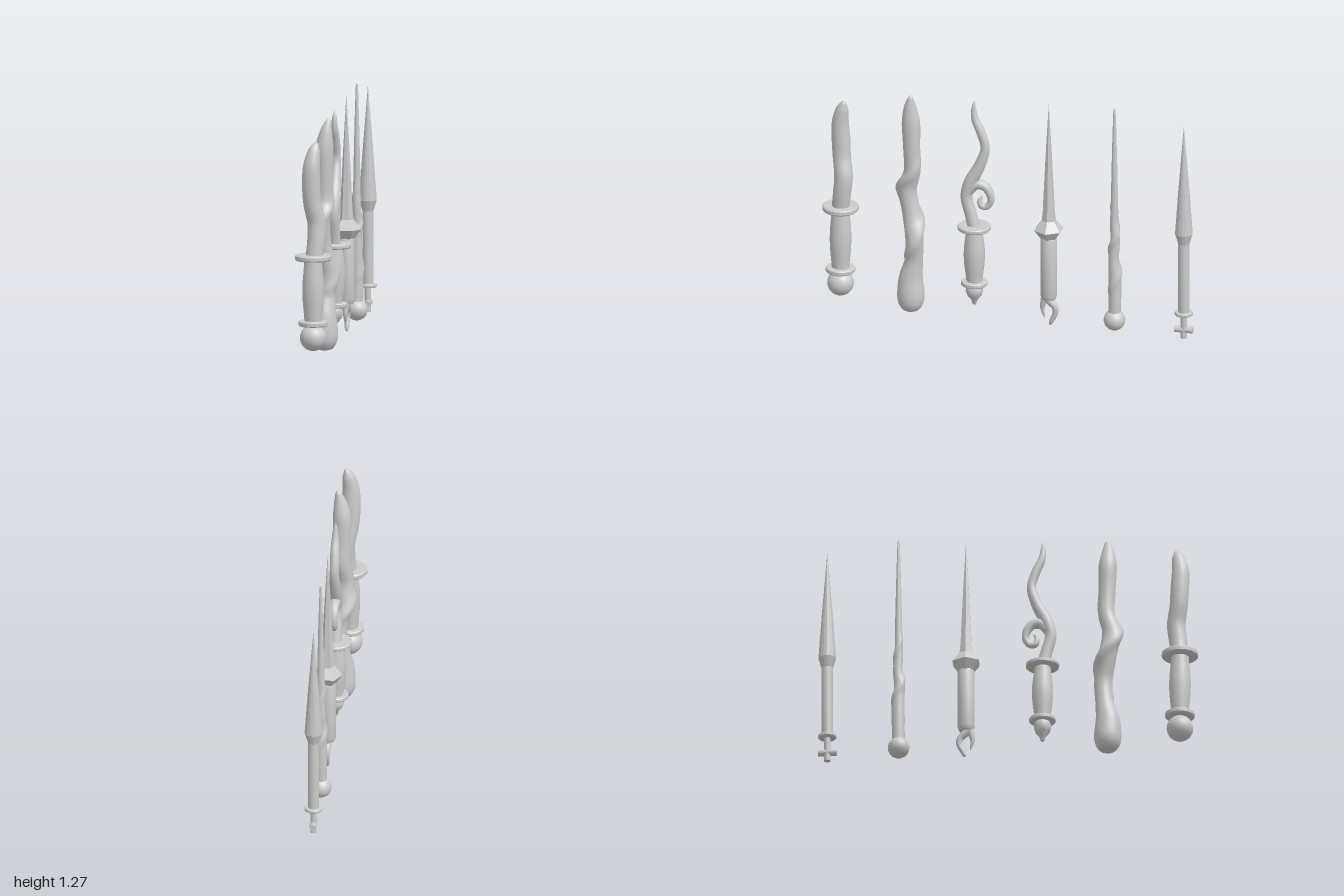
import * as THREE from 'three';
import { toCreasedNormals } from 'three/addons/utils/BufferGeometryUtils.js';

const material = new THREE.MeshStandardMaterial({ color: 0xcccccc, side: THREE.DoubleSide });

function add(group, name, geometry, y = 0) {
  const mesh = new THREE.Mesh(geometry, material);
  mesh.name = name;
  mesh.position.y = y;
  group.add(mesh);
  return mesh;
}

// Turned part: profile of [radius, y]
const turned = (profile, sides = 24, crease = 0.6) => toCreasedNormals(
  new THREE.LatheGeometry(profile.map(([r, y]) => new THREE.Vector2(r, y)), sides), crease);

// Flat disc with softened rims
const disc = (r, y0, y1) => {
  const b = (y1 - y0) * 0.2;
  return turned([[0, y0], [r - b, y0], [r, y0 + b], [r, y1 - b], [r - b, y1], [0, y1]]);
};

// Bulging grip between two heights
const grip = (y0, y1, rEnd, rMid) => {
  const profile = [];
  for (let i = 0; i <= 12; i++) {
    const t = i / 12;
    profile.push([rEnd + (rMid - rEnd) * Math.sin(Math.PI * t) ** 1.3, y0 + (y1 - y0) * t]);
  }
  return turned(profile);
};

// Round sweep through rows of [x, y, z, radius]; bump(y, angle) adds surface relief
function sweep(rows, steps = 56, sides = 20, bump = () => 0) {
  const path = new THREE.CatmullRomCurve3(rows.map(r => new THREE.Vector3(r[0], r[1], r[2])));
  const radii = new THREE.CatmullRomCurve3(rows.map((r, i) => new THREE.Vector3(r[3], i, 0)), false, 'catmullrom', 0.5);
  const X = new THREE.Vector3(1, 0, 0);
  const pos = [], index = [];
  for (let i = 0; i <= steps; i++) {
    const t = i / steps;
    const p = path.getPoint(t), T = path.getTangent(t);
    const r = Math.max(radii.getPoint(t).x, 0.0005);
    const N = new THREE.Vector3().crossVectors(X, T).normalize();
    const B = new THREE.Vector3().crossVectors(T, N);
    for (let j = 0; j < sides; j++) {
      const a = j / sides * Math.PI * 2;
      const q = p.clone(), R = r + bump(p.y, a);
      q.addScaledVector(N, R * Math.cos(a)).addScaledVector(B, R * Math.sin(a));
      pos.push(q.x, q.y, q.z);
      if (i < steps) {
        const k = (j + 1) % sides, u = i * sides, v = u + sides;
        index.push(u + j, u + k, v + j, u + k, v + k, v + j);
      }
    }
  }
  const g = new THREE.BufferGeometry();
  g.setAttribute('position', new THREE.Float32BufferAttribute(pos, 3));
  g.setIndex(index);
  g.computeVertexNormals();
  return g;
}

// Raised vine winding round a shaft
const vine = (y0, y1, pitch, height, width) => (y, a) => {
  if (y < y0 || y > y1) return 0;
  const d = a - Math.PI * 2 * (y - y0) / pitch;
  const wrapped = Math.atan2(Math.sin(d), Math.cos(d));
  return height * Math.sin(Math.PI * (y - y0) / (y1 - y0)) ** 0.5 * Math.exp(-((wrapped / width) ** 2));
};

function wavyWand(g) {
  add(g, 'pommelBall', new THREE.SphereGeometry(0.07, 24, 16), 0.14);
  add(g, 'pommelRing', disc(0.078, 0.203, 0.23));
  add(g, 'grip', grip(0.225, 0.555, 0.046, 0.057));
  add(g, 'guard', disc(0.096, 0.551, 0.58));
  add(g, 'shaft', sweep([
    [0.005, 0.56, 0, 0.046], [0.015, 0.66, -0.012, 0.048], [0.015, 0.75, -0.02, 0.049],
    [-0.005, 0.85, -0.006, 0.048], [-0.01, 0.95, 0, 0.049], [-0.008, 1.05, 0.003, 0.045],
    [0.004, 1.13, -0.01, 0.032], [0.012, 1.165, -0.018, 0.015], [0.014, 1.18, -0.021, 0]]));
}

function vineWand(g) {
  add(g, 'shaft', sweep([
    [0, 0.015, 0, 0], [0, 0.025, 0, 0.04], [0, 0.06, 0, 0.065], [0, 0.11, 0, 0.072],
    [0, 0.2, 0, 0.064], [0.008, 0.31, -0.018, 0.048], [0.018, 0.43, -0.024, 0.048],
    [-0.01, 0.57, 0, 0.048], [-0.014, 0.7, 0.02, 0.048], [-0.004, 0.81, -0.006, 0.044],
    [0, 0.95, -0.004, 0.045], [0, 1.09, 0, 0.048], [0.01, 1.18, 0.002, 0.032],
    [0.02, 1.235, -0.003, 0.014], [0.022, 1.25, -0.004, 0]], 90, 28,
  vine(0.31, 0.88, 0.39, 0.02, 0.6)));
}

function curledWand(g) {
  add(g, 'finial', turned([[0, 0.083], [0.01, 0.09], [0.018, 0.115], [0.038, 0.14], [0.046, 0.165],
    [0.042, 0.19], [0.034, 0.205]]));
  add(g, 'collar', disc(0.07, 0.198, 0.222));
  add(g, 'grip', grip(0.218, 0.52, 0.042, 0.056));
  add(g, 'guard', disc(0.088, 0.513, 0.537));
  add(g, 'shaft', sweep([
    [0, 0.52, 0, 0.034], [0, 0.6, 0.02, 0.032], [0, 0.7, 0.043, 0.031], [0, 0.78, 0.02, 0.035],
    [0, 0.88, -0.03, 0.03], [0, 0.98, -0.058, 0.024], [0, 1.07, -0.034, 0.024],
    [0, 1.14, -0.004, 0.02], [0, 1.21, 0.003, 0.011], [0, 1.245, -0.002, 0]]));
  add(g, 'curl', sweep([
    [0, 0.73, 0.03, 0.028], [0, 0.768, -0.01, 0.028], [0, 0.762, -0.055, 0.025],
    [0, 0.725, -0.083, 0.022], [0, 0.68, -0.089, 0.018], [0, 0.648, -0.067, 0.017],
    [0, 0.65, -0.038, 0.017], [0, 0.68, -0.03, 0.013], [0, 0.705, -0.044, 0.004],
    [0, 0.708, -0.047, 0]], 60, 14));
}

function clawWand(g) {
  // Hexagonal boss with corners on the x axis
  const hex = profile => {
    const h = turned(profile, 6, 0.4);
    h.rotateY(Math.PI / 2);
    return h;
  };
  add(g, 'spike', hex([[0.047, 0.52], [0.033, 0.66], [0.018, 0.96], [0, 1.268]]));
  add(g, 'diamondBoss', hex([[0, 0.443], [0.08, 0.552], [0, 0.655]]));
  add(g, 'grip', turned([[0, 0.158], [0.036, 0.158], [0.044, 0.178], [0.044, 0.5], [0.03, 0.53]], 12));
  // Hooked claws
  add(g, 'shortClaw', sweep([[0, 0.18, 0.018, 0.02], [0, 0.14, 0.028, 0.017], [0, 0.1, 0.034, 0.012],
    [0, 0.07, 0.028, 0.007], [0, 0.045, 0.022, 0]], 20, 10));
  add(g, 'longClaw', sweep([[0, 0.165, 0.012, 0.022], [0, 0.14, -0.01, 0.021], [0, 0.115, -0.032, 0.018],
    [0, 0.08, -0.036, 0.015], [0, 0.04, -0.018, 0.013], [0, 0.015, -0.008, 0.008],
    [0, 0.008, -0.006, 0]], 26, 10));
}

function slimWand(g) {
  add(g, 'pommelBall', new THREE.SphereGeometry(0.057, 24, 16), 0.073);
  add(g, 'shaft', sweep([
    [0, 0.1, 0, 0.033], [0, 0.2, -0.002, 0.034], [0, 0.32, -0.002, 0.033], [0, 0.42, 0.004, 0.028],
    [0, 0.52, -0.004, 0.025], [0, 0.62, 0.002, 0.022], [0, 0.7, 0, 0.02], [0, 0.9, 0, 0.016],
    [0, 1.1, 0, 0.011], [0, 1.27, 0, 0.005], [0, 1.275, 0, 0]], 90, 18,
  vine(0.22, 0.74, 0.25, 0.01, 0.7)));
}

function spearWand(g) {
  add(g, 'shaft', turned([[0, 0.15], [0.03, 0.15], [0.03, 0.56]], 16));
  add(g, 'spearHead', turned([[0.029, 0.54], [0.047, 0.6], [0.03, 0.84], [0, 1.21]], 16, 0.3));
  add(g, 'collar', disc(0.048, 0.138, 0.157));
  add(g, 'stem', new THREE.CylinderGeometry(0.017, 0.017, 0.14, 12), 0.077);
  add(g, 'crossBar', new THREE.CylinderGeometry(0.018, 0.018, 0.098, 12), 0.055).rotation.x = Math.PI / 2;
}

export function createModel() {
  const model = new THREE.Group();
  const wands = { wavyWand: [wavyWand, 0.905], vineWand: [vineWand, 0.525], curledWand: [curledWand, 0.182],
    clawWand: [clawWand, -0.22], slimWand: [slimWand, -0.575], spearWand: [spearWand, -0.95] };
  for (const [name, [build, z]] of Object.entries(wands)) {
    const g = new THREE.Group();
    g.name = name;
    g.position.z = z;
    build(g);
    model.add(g);
  }
  return model;
}
